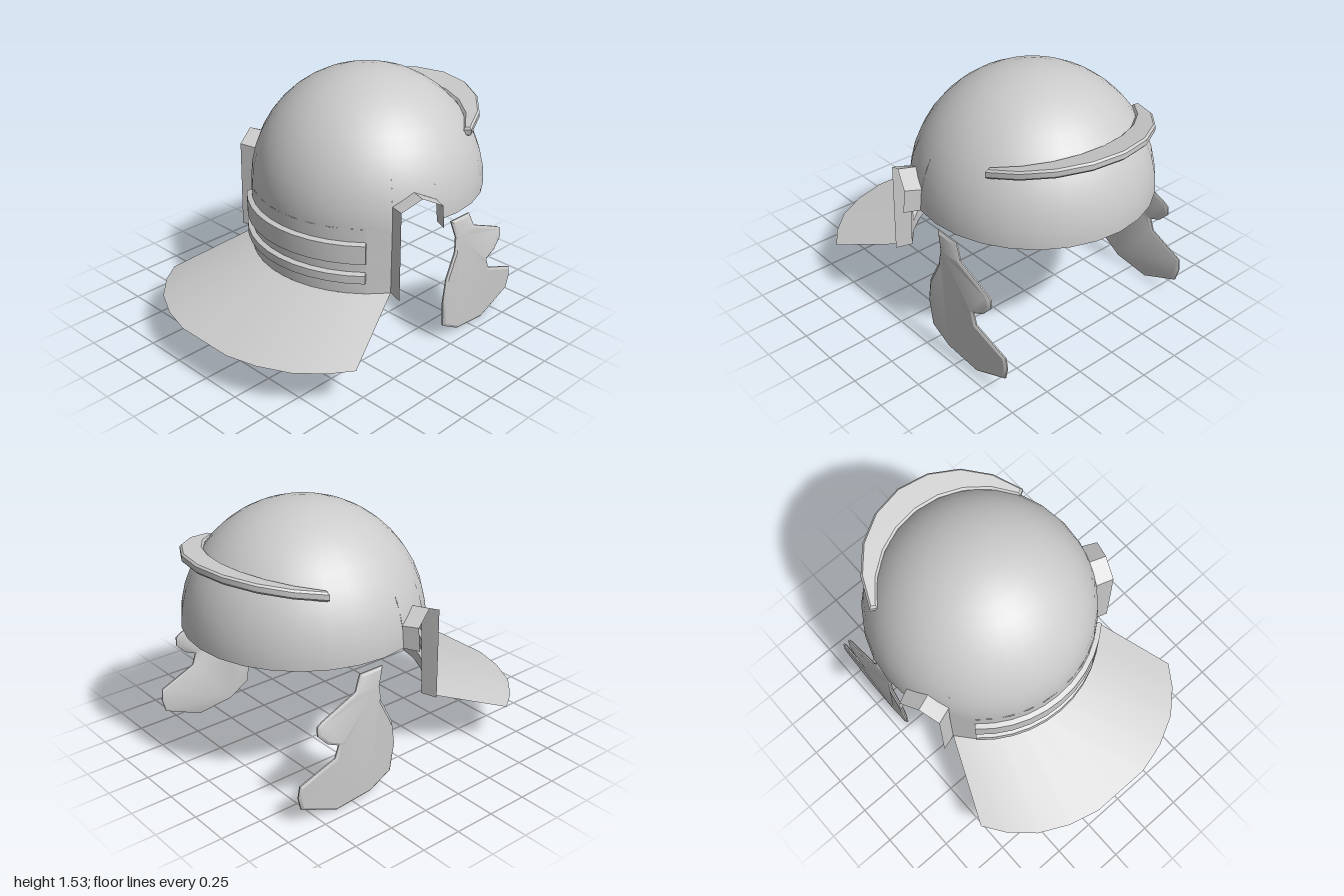
import * as THREE from 'three';
import { toCreasedNormals } from 'three/addons/utils/BufferGeometryUtils.js';

const CX = 0.3, R = 0.7, RIM = 0.84, HEM = 0.43;
const EAR_FRONT = 102.4, EAR_PEAK = 114, EAR_BACK = 124.8; // ear cut-out, degrees from the brow
const rad = THREE.MathUtils.degToRad, lerp = THREE.MathUtils.lerp;
const material = new THREE.MeshStandardMaterial({ color: 0xcccccc, side: THREE.DoubleSide });

const polar = (deg, r, y) => [CX + r * Math.cos(rad(deg)), y, r * Math.sin(rad(deg))];
const skull = (deg, y) => polar(deg, Math.sqrt(R * R - Math.max(0, y - RIM) ** 2), y);
const range = (a, b, n) => Array.from({ length: n + 1 }, (_, i) => lerp(a, b, i / n));

// Surface through columns of points
function grid(cols) {
  const n = cols[0].length, index = [];
  for (let u = 0; u < cols.length - 1; u++) {
    for (let v = 0; v < n - 1; v++) {
      const a = u * n + v, b = a + n;
      index.push(a, b, a + 1, b, b + 1, a + 1);
    }
  }
  const g = new THREE.BufferGeometry();
  g.setAttribute('position', new THREE.Float32BufferAttribute(cols.flat(2), 3));
  g.setIndex(index);
  g.computeVertexNormals();
  return g;
}

function part(name, geometry) {
  const mesh = new THREE.Mesh(geometry, material);
  mesh.name = name;
  return mesh;
}

// Slice of the round skull, each column [angle, lower edge height]
function domeSlice(cols) {
  const g = grid(cols.map(([deg, bottom]) => {
    const end = Math.acos((bottom - RIM) / R);
    const angles = [...range(0, rad(64), 8), ...range(rad(64), end, 3).slice(1)];
    return angles.map(a => polar(deg, R * Math.sin(a), RIM + R * Math.cos(a)));
  }));
  const p = g.attributes.position, n = new THREE.Vector3();
  for (let i = 0; i < p.count; i++) {
    n.fromBufferAttribute(p, i).sub(new THREE.Vector3(CX, RIM, 0)).normalize();
    g.attributes.normal.setXYZ(i, n.x, n.y, n.z);
  }
  return g;
}

function dome() {
  const g = new THREE.Group();
  g.name = 'dome';
  const arch = [[EAR_FRONT, 0.97], [108, 1.003], [EAR_PEAK, 1.035], [119.4, 1.003], [EAR_BACK, 0.97]];
  g.add(
    part('domeFront', domeSlice(range(-EAR_FRONT, EAR_FRONT, 16).map(d => [d, RIM]))),
    part('domeBack', domeSlice(range(EAR_BACK, 360 - EAR_BACK, 10).map(d => [d, RIM]))),
    part('domeOverLeftEar', domeSlice(arch)),
    part('domeOverRightEar', domeSlice(arch.map(([d, y]) => [-d, y]).reverse()))
  );
  return g;
}

// Back wall with two embossed ribs
function neckWall() {
  const profile = [[RIM, 0], [0.76, 0], [0.75, 1], [0.635, 1], [0.625, 0],
    [0.57, 0], [0.56, 1], [0.51, 1], [0.5, 0], [HEM, 0]];
  const column = (deg, bulge) => profile.map(([y, b]) => polar(deg, R + 0.03 * b * bulge, y));
  const ribEnd = 136.8;
  const cols = [
    column(EAR_BACK, 0), column(ribEnd - 0.3, 0),
    ...range(ribEnd, 360 - ribEnd, 10).map(d => column(d, 1)),
    column(360 - ribEnd + 0.3, 0), column(360 - EAR_BACK, 0)
  ];
  return toCreasedNormals(grid(cols), 0.6);
}

// Sloping flared guard below the back wall
function neckGuard() {
  const half = [[-0.6, 0.79], [-0.73, 0.7], [-0.86, 0.56], [-0.95, 0.38], [-1, 0.19]];
  const outer = [...half, ...half.map(([x, z]) => [x, -z]).reverse()];
  const angles = range(EAR_BACK, 360 - EAR_BACK, outer.length - 1);
  return grid(outer.map(([x, z], i) => [polar(angles[i], R, HEM), [x, 0.25, z]]));
}

// Flange standing out around the ear cut-out
function earFlange() {
  return toCreasedNormals(grid([
    [skull(EAR_BACK, HEM), [-0.13, HEM, 0.67]],
    [skull(EAR_BACK, 0.97), [-0.13, 0.98, 0.665]],
    [skull(EAR_PEAK, 1.035), [-0.01, 1.04, 0.71]],
    [skull(EAR_FRONT, 0.97), [0.11, 0.975, 0.757]],
    [skull(EAR_FRONT, RIM), [0.11, RIM, 0.77]]
  ]), 0.3);
}

// Crescent bar across the brow, rising toward the front
function browGuard() {
  const arc = (end, mid) => range(-64, 64, 8).map(d => {
    const r = lerp(end, mid, Math.cos(rad(d * 90 / 64)));
    return new THREE.Vector2(CX + r * Math.cos(rad(d)), r * Math.sin(rad(d)));
  });
  const shape = new THREE.Shape([...arc(0.615, 0.688), ...arc(0.59, 0.55).reverse()]);
  const g = new THREE.ExtrudeGeometry(shape, {
    depth: 0.03, bevelThickness: 0.012, bevelSize: 0.012, bevelSegments: 1
  });
  g.rotateX(Math.PI / 2);
  const p = g.attributes.position;
  for (let i = 0; i < p.count; i++) p.setY(i, p.getY(i) + 1.225 + 0.21 * (p.getX(i) - 0.53));
  return toCreasedNormals(g, 0.6);
}

// Cheek plate with a bevelled edge and a slight outward bow
function cheekPlate() {
  const outline = [[0.29, 0.78], [0.325, 0.67], [0.315, 0.58], [0.24, 0.43], [0.22, 0.28],
    [0.24, 0.11], [0.38, 0.03], [0.62, 0.005], [0.86, 0.11], [0.88, 0.19], [0.87, 0.26],
    [0.64, 0.35], [0.615, 0.42], [0.69, 0.455], [0.75, 0.52], [0.75, 0.575], [0.72, 0.595],
    [0.49, 0.69], [0.45, 0.78]];
  const shape = new THREE.Shape(outline.map(([x, y]) => new THREE.Vector2(x, y)));
  const g = new THREE.ExtrudeGeometry(shape, {
    depth: 0.008, bevelThickness: 0.008, bevelSize: 0.015, bevelOffset: -0.015, bevelSegments: 1
  });
  const p = g.attributes.position;
  for (let i = 0; i < p.count; i++) {
    const dx = p.getX(i) - 0.4, dy = p.getY(i) - 0.35;
    p.setZ(i, p.getZ(i) + 0.695 - 0.15 * dy * dy - 0.06 * dx * dx);
  }
  return toCreasedNormals(g, 0.5);
}

export function createModel() {
  const model = new THREE.Group();
  model.name = 'helmet';
  model.add(
    dome(),
    part('neckWall', neckWall()),
    part('neckGuard', neckGuard()),
    part('browGuard', browGuard())
  );
  // Paired parts, mirrored across the middle
  for (const side of [1, -1]) {
    const pair = new THREE.Group();
    pair.name = side > 0 ? 'leftSide' : 'rightSide';
    pair.add(part('earFlange', earFlange()), part('cheekPlate', cheekPlate()));
    pair.scale.z = side;
    model.add(pair);
  }
  return model;
}
